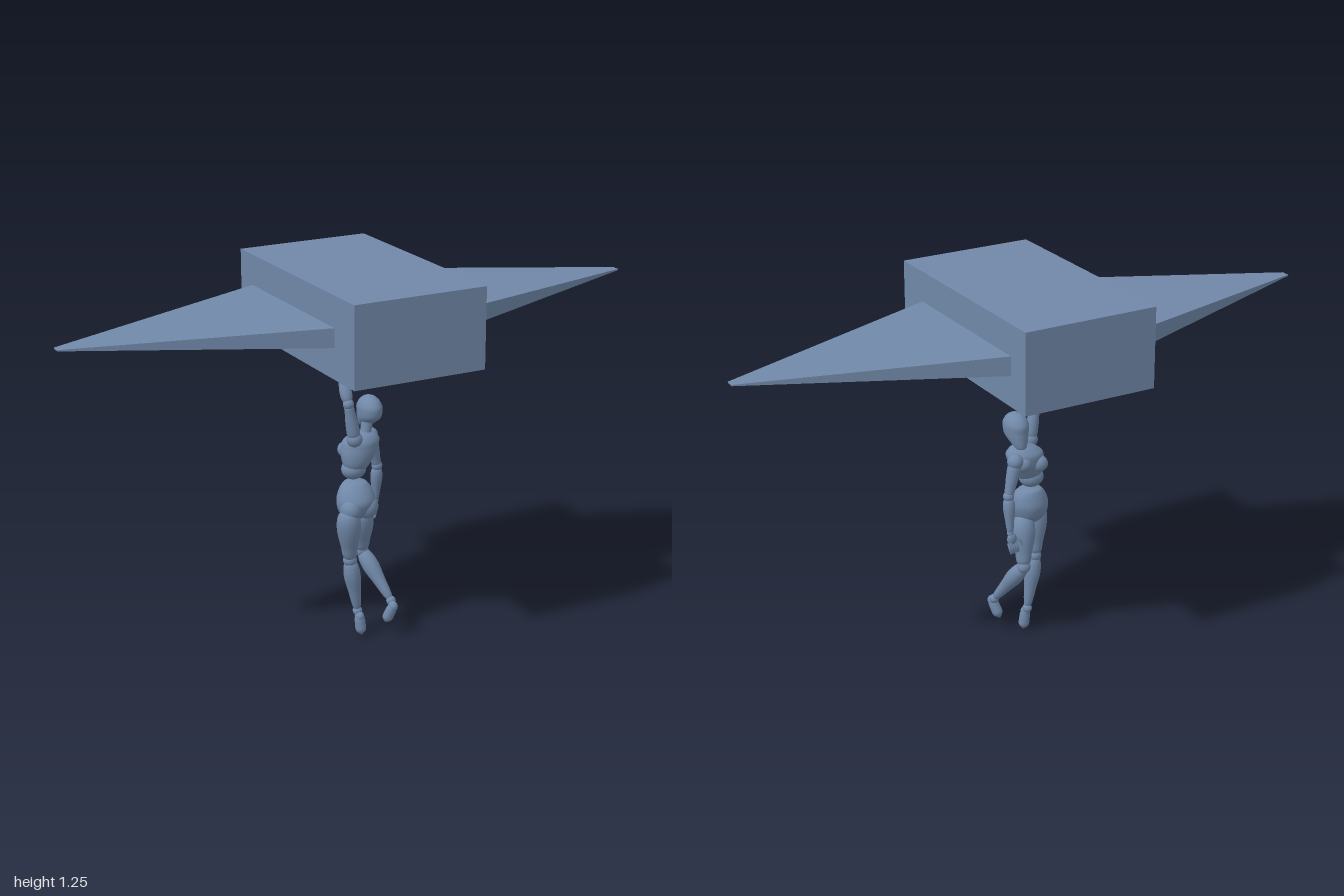
import * as THREE from 'three';

const material = new THREE.MeshStandardMaterial({ color: 0x7088a8 });
const V = (p) => new THREE.Vector3(...p);

function add(parent, name, geometry) {
  const mesh = new THREE.Mesh(geometry, material);
  mesh.name = name;
  parent.add(mesh);
  return mesh;
}

// Ellipsoid with per-axis radii
function ball(parent, name, at, r) {
  const mesh = add(parent, name, new THREE.SphereGeometry(1, 24, 16));
  mesh.position.set(...at);
  Array.isArray(r) ? mesh.scale.set(...r) : mesh.scale.setScalar(r);
  return mesh;
}

// Turned limb from a to b; profile = [fraction of length, radius] pairs
function limb(parent, name, a, b, profile, sides = 20) {
  const from = V(a), dir = V(b).sub(from), length = dir.length();
  const curve = new THREE.SplineCurve(profile.map(([t, r]) => new THREE.Vector2(r, t * length)));
  const points = curve.getPoints(18).map((p) => new THREE.Vector2(Math.max(p.x, 0), p.y));
  const mesh = add(parent, name, new THREE.LatheGeometry(points, sides));
  mesh.position.copy(from);
  mesh.quaternion.setFromUnitVectors(new THREE.Vector3(0, 1, 0), dir.normalize());
  return mesh;
}

// Smooth body through horizontal ellipses [x, y, z, radiusX, radiusZ], bottom to top
function loft(parent, name, rings, steps = 28, sides = 32) {
  const centres = new THREE.CatmullRomCurve3(rings.map((r) => V(r.slice(0, 3))));
  const radii = new THREE.CatmullRomCurve3(rings.map((r) => new THREE.Vector3(r[3], r[4], 0)));
  const position = [], index = [];
  for (let i = 0; i <= steps; i++) {
    const c = centres.getPoint(i / steps), r = radii.getPoint(i / steps);
    for (let j = 0; j < sides; j++) {
      const angle = (j / sides) * Math.PI * 2;
      position.push(c.x + Math.cos(angle) * Math.max(r.x, 0), c.y, c.z + Math.sin(angle) * Math.max(r.y, 0));
      if (i === steps) continue;
      const a = i * sides + j, b = i * sides + ((j + 1) % sides);
      index.push(a, a + sides, b, b, a + sides, b + sides);
    }
  }
  const geometry = new THREE.BufferGeometry();
  geometry.setAttribute('position', new THREE.Float32BufferAttribute(position, 3));
  geometry.setIndex(index);
  geometry.computeVertexNormals();
  return add(parent, name, geometry);
}

// Each digit is a thin bent tube with a round tip
function finger(parent, name, points, r) {
  const curve = new THREE.CatmullRomCurve3(points.map(V));
  add(parent, name, new THREE.TubeGeometry(curve, 8, r, 8));
  ball(parent, name + 'Tip', points[points.length - 1], r);
}

// Box whose outer end is squeezed to a small tip
function wing(parent, name, side) {
  const geometry = new THREE.BoxGeometry(1, 1, 1);
  const p = geometry.attributes.position;
  for (let i = 0; i < p.count; i++) {
    const outer = p.getX(i) * side > 0;
    p.setXYZ(i, side * (outer ? 1 : 0.227),
      1.116 + p.getY(i) * (outer ? 0.004 : 0.062),
      -0.02 + p.getZ(i) * (outer ? 0.03 : 0.57));
  }
  geometry.computeVertexNormals();
  add(parent, name, geometry);
}

function leg(parent, side, { hip, knee, ankle, heel, toe }) {
  const g = new THREE.Group();
  g.name = side + 'Leg';
  parent.add(g);
  limb(g, 'thigh', hip, knee, [[-0.32, 0], [-0.22, 0.027], [0, 0.039], [0.3, 0.038], [0.65, 0.028], [0.9, 0.022], [1.03, 0]]);
  ball(g, 'knee', knee, 0.023);
  limb(g, 'shin', knee, ankle, [[0.02, 0], [0.06, 0.021], [0.3, 0.028], [0.6, 0.021], [0.92, 0.013], [1, 0]]);
  ball(g, 'ankle', ankle, 0.016);
  ball(g, 'heel', heel, [0.015, 0.018, 0.018]);
  limb(g, 'foot', heel, toe, [[-0.15, 0], [0, 0.015], [0.45, 0.018], [0.75, 0.016], [1, 0]]);
}

function arm(parent, side, { shoulder, elbow, wrist }) {
  const g = new THREE.Group();
  g.name = side + 'Arm';
  parent.add(g);
  ball(g, 'shoulder', shoulder, 0.026);
  limb(g, 'upperArm', shoulder, elbow, [[0, 0], [0.1, 0.02], [0.4, 0.021], [0.75, 0.017], [0.95, 0.014], [1, 0]]);
  ball(g, 'elbow', elbow, 0.018);
  limb(g, 'forearm', elbow, wrist, [[0.02, 0], [0.08, 0.015], [0.3, 0.02], [0.65, 0.015], [0.95, 0.01], [1, 0]]);
  ball(g, 'wrist', wrist, 0.011);
  return g;
}

export function createModel() {
  const model = new THREE.Group();
  model.name = 'hangingFigure';

  // Block with two tapering wings
  add(model, 'block', new THREE.BoxGeometry(0.454, 0.263, 0.78)).position.y = 1.1165;
  wing(model, 'leftWing', 1);
  wing(model, 'rightWing', -1);

  // Jointed figure hanging below, facing -z
  const figure = new THREE.Group();
  figure.name = 'figure';
  model.add(figure);

  loft(figure, 'head', [
    [0.037, 0.705, -0.038, 0, 0], [0.037, 0.709, -0.034, 0.016, 0.016], [0.037, 0.728, -0.018, 0.028, 0.034],
    [0.037, 0.752, -0.002, 0.037, 0.05], [0.037, 0.78, 0, 0.039, 0.053], [0.037, 0.803, 0, 0.031, 0.041],
    [0.037, 0.816, 0, 0.017, 0.022], [0.037, 0.821, 0, 0, 0]]);
  limb(figure, 'neck', [0.012, 0.66, 0.008], [0.03, 0.745, 0.002], [[0, 0.027], [0.4, 0.019], [1, 0.019]]);
  loft(figure, 'chest', [
    [-0.018, 0.575, 0.008, 0, 0], [-0.018, 0.58, 0.008, 0.034, 0.028], [-0.014, 0.605, 0.008, 0.049, 0.042],
    [-0.004, 0.64, 0.004, 0.062, 0.05], [0.004, 0.67, 0.002, 0.064, 0.05], [0.01, 0.692, 0.004, 0.046, 0.036],
    [0.013, 0.703, 0.005, 0.02, 0.018], [0.013, 0.705, 0.005, 0, 0]]);
  for (const [name, x, y] of [['leftBreast', 0.025, 0.648], ['rightBreast', -0.034, 0.638]])
    ball(figure, name, [x, y, -0.03], [0.028, 0.027, 0.026]);
  ball(figure, 'waist', [-0.024, 0.58, 0.006], [0.042, 0.034, 0.037]);
  loft(figure, 'pelvis', [
    [-0.028, 0.41, 0.02, 0, 0], [-0.028, 0.418, 0.02, 0.028, 0.026], [-0.027, 0.445, 0.022, 0.057, 0.053],
    [-0.025, 0.48, 0.022, 0.064, 0.062], [-0.023, 0.515, 0.016, 0.055, 0.05], [-0.022, 0.538, 0.01, 0.036, 0.034],
    [-0.022, 0.546, 0.008, 0, 0]]);
  for (const [name, x, z] of [['leftButtock', 0.004, 0.044], ['rightButtock', -0.056, 0.048]])
    ball(figure, name, [x, 0.457, z], [0.036, 0.04, 0.038]);

  // Bent leg and straight leg
  leg(figure, 'left', { hip: [0.008, 0.41, 0.002], knee: [0.022, 0.275, -0.024], ankle: [0.075, 0.122, 0.082],
    heel: [0.074, 0.108, 0.098], toe: [0.056, 0.045, 0.076] });
  leg(figure, 'right', { hip: [-0.066, 0.42, 0.05], knee: [-0.052, 0.275, 0.032], ankle: [-0.022, 0.085, 0.028],
    heel: [-0.02, 0.068, 0.038], toe: [-0.014, 0, 0.042] });

  // Lowered arm and hand
  const low = arm(figure, 'left', { shoulder: [0.062, 0.668, -0.04], elbow: [0.09, 0.555, -0.045], wrist: [0.09, 0.428, -0.055] });
  ball(low, 'palm', [0.086, 0.408, -0.059], [0.017, 0.022, 0.011]);
  for (let i = 0; i < 4; i++) {
    const x = 0.07 + i * 0.01, z = -0.056 - i * 0.003;
    finger(low, 'finger', [[x + 0.003, 0.4, z], [x, 0.378, z - 0.007], [x - 0.006, 0.36 + i * 0.001, z - 0.004]], 0.005);
  }
  finger(low, 'thumb', [[0.076, 0.415, -0.058], [0.062, 0.402, -0.066], [0.057, 0.386, -0.069]], 0.005);

  // Raised arm, its hand spread under the block
  const high = arm(figure, 'right', { shoulder: [-0.04, 0.695, 0.042], elbow: [-0.064, 0.818, 0.046], wrist: [-0.066, 0.928, -0.008] });
  ball(high, 'palm', [-0.06, 0.945, -0.016], [0.019, 0.016, 0.013]);
  for (let i = 0; i < 4; i++) {
    const x = -0.062 + i * 0.012, z = -0.044 + i * 0.01;
    finger(high, 'finger', [[-0.062 + i * 0.004, 0.948, -0.022 + i * 0.003], [x + 0.007, 0.958, z], [x + 0.014, 0.981, z - 0.001]], 0.005);
  }
  finger(high, 'thumb', [[-0.068, 0.945, -0.016], [-0.082, 0.96, -0.024], [-0.085, 0.98, -0.028]], 0.005);

  return model;
}
